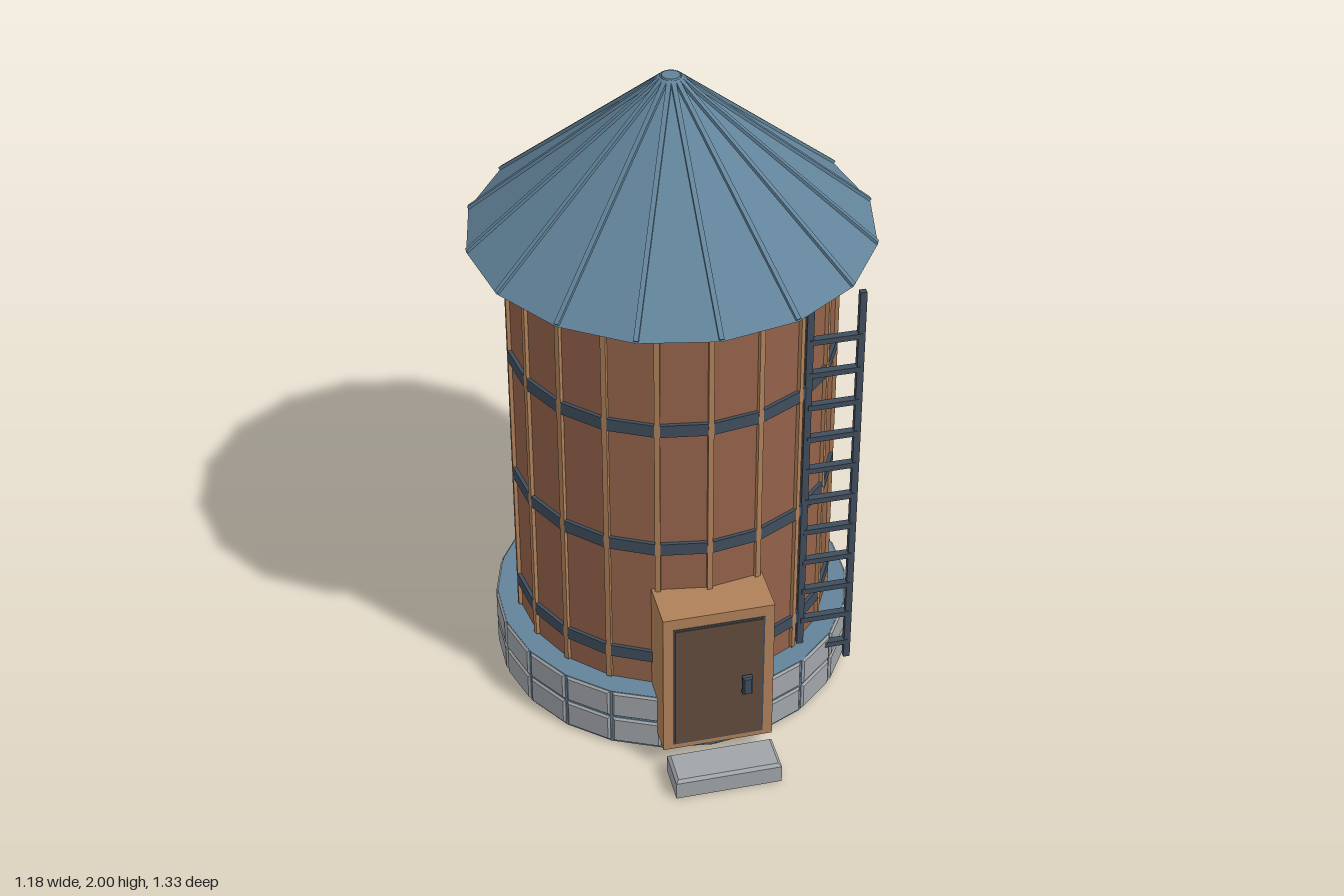
import * as THREE from 'three';

const mat = (name, color) => {
  const m = new THREE.MeshStandardMaterial({ color });
  m.name = name;
  return m;
};

export function createModel() {
  const root = new THREE.Group();
  root.name = 'waterTower';
  const blue = mat('roofBlue', 0x62839a);
  const iron = mat('darkIron', 0x3f4d5c);
  const stave = mat('staveBrown', 0x93624a);
  const trim = mat('lightWood', 0xae8058);
  const doorBrown = mat('doorBrown', 0x604a3b);
  const stone = mat('stoneGrey', 0xa0a4a8);

  const add = (parent, name, geo, material, x = 0, y = 0, z = 0) => {
    const m = new THREE.Mesh(geo, material);
    m.name = name;
    m.position.set(x, y, z);
    parent.add(m);
    return m;
  };
  const box = (w, h, d) => new THREE.BoxGeometry(w, h, d);
  const drum = (rTop, rBottom, h, sides) =>
    new THREE.CylinderGeometry(rTop, rBottom, h, sides).toNonIndexed();
  const flat = (geo) => { geo.computeVertexNormals(); return geo; };

  // Rectangle outline centred on the origin
  const rect = (w, h, T = THREE.Shape) => new T([
    [-w / 2, -h / 2], [w / 2, -h / 2], [w / 2, h / 2], [-w / 2, h / 2],
  ].map(([x, y]) => new THREE.Vector2(x, y)));

  // Box with chamfered edges, centred on the origin
  const chamferBox = (w, h, d, b) => {
    const g = new THREE.ExtrudeGeometry(rect(w - 2 * b, h - 2 * b), {
      depth: d - 2 * b, bevelEnabled: true, bevelSize: b, bevelThickness: b, bevelSegments: 1,
    });
    return g.translate(0, 0, -(d - 2 * b) / 2);
  };

  // Calls build() with a group turned to each of n directions
  const ring = (parent, name, n, offset, build) => {
    for (let i = 0; i < n; i++) {
      const g = new THREE.Group();
      g.name = name;
      g.rotation.y = ((i + offset) / n) * Math.PI * 2;
      build(g);
      parent.add(g);
    }
  };

  const tower = new THREE.Group();
  tower.name = 'tower';
  tower.position.z = -0.075;
  root.add(tower);

  // Foundation with two courses of stone blocks
  add(tower, 'foundation', flat(drum(0.54, 0.54, 0.2, 22)), blue, 0, 0.102, 0);
  const block = chamferBox(0.146, 0.093, 0.03, 0.006);
  ring(tower, 'stoneColumn', 22, 0.5, (g) => {
    for (const y of [0.054, 0.154]) add(g, 'stoneBlock', block, stone, 0, y, 0.527);
  });

  // Wooden tank with battens on the corners and iron bands on the faces
  add(tower, 'tank', flat(drum(0.475, 0.475, 1.3, 20)), stave, 0, 0.85, 0);
  const batten = box(0.016, 1.29, 0.024);
  ring(tower, 'battenSide', 20, 0, (g) => add(g, 'batten', batten, trim, 0, 0.852, 0.473));
  const band = box(0.138, 0.04, 0.02);
  ring(tower, 'bandSide', 20, 0.5, (g) => {
    for (const y of [0.31, 0.72, 1.143, 1.479]) add(g, 'bandSegment', band, iron, 0, y, 0.47);
  });

  // Conical roof with ridge ribs and a small cap
  add(tower, 'roof', flat(drum(0.022, 0.588, 0.484, 16)), blue, 0, 1.752, 0);
  const run = 0.565, drop = 0.484;
  const rib = box(0.014, 0.012, Math.hypot(run, drop) - 0.008);
  ring(tower, 'ridge', 16, 0, (g) => {
    const m = add(g, 'roofRib', rib, blue, 0, 1.754, 0.306);
    m.rotation.x = Math.atan2(drop, run);
  });
  add(tower, 'roofCap', new THREE.CylinderGeometry(0.026, 0.03, 0.012, 16), blue, 0, 1.994, 0);

  // Doorway
  const doorway = new THREE.Group();
  doorway.name = 'doorway';
  root.add(doorway);
  add(doorway, 'doorFrame', box(0.332, 0.5, 0.15), trim, 0, 0.315, 0.445);
  add(doorway, 'doorGap', box(0.274, 0.445, 0.004), iron, 0, 0.305, 0.52);
  add(doorway, 'door', box(0.262, 0.433, 0.008), doorBrown, 0, 0.305, 0.521);
  add(doorway, 'handle', chamferBox(0.03, 0.065, 0.022, 0.005), iron, 0.082, 0.292, 0.54);
  add(doorway, 'handleStem', box(0.014, 0.03, 0.012), iron, 0.082, 0.292, 0.526);

  // Doorstep, hollow underneath
  const step = new THREE.Group();
  step.name = 'doorstep';
  root.add(step);
  const wallShape = rect(0.32, 0.122);
  wallShape.holes.push(rect(0.25, 0.05, THREE.Path));
  const walls = new THREE.ExtrudeGeometry(wallShape, { depth: 0.048, bevelEnabled: false });
  add(step, 'stepWalls', walls.rotateX(-Math.PI / 2), stone, 0, 0, 0.6);
  const lid = chamferBox(0.32, 0.122, 0.03, 0.009).rotateX(-Math.PI / 2);
  add(step, 'stepTop', lid, stone, 0, 0.051, 0.6);

  // Ladder
  const ladder = new THREE.Group();
  ladder.name = 'ladder';
  ladder.position.set(0.385, 0, 0.293);
  root.add(ladder);
  for (const s of [-1, 1]) add(ladder, 'ladderRail', box(0.02, 1.34, 0.018), iron, s * 0.075, 0.788, 0);
  const rung = box(0.15, 0.018, 0.022);
  for (let i = 0; i < 11; i++) add(ladder, 'rung', rung, iron, 0, 0.178 + i * 0.1133, 0);

  return root;
}
